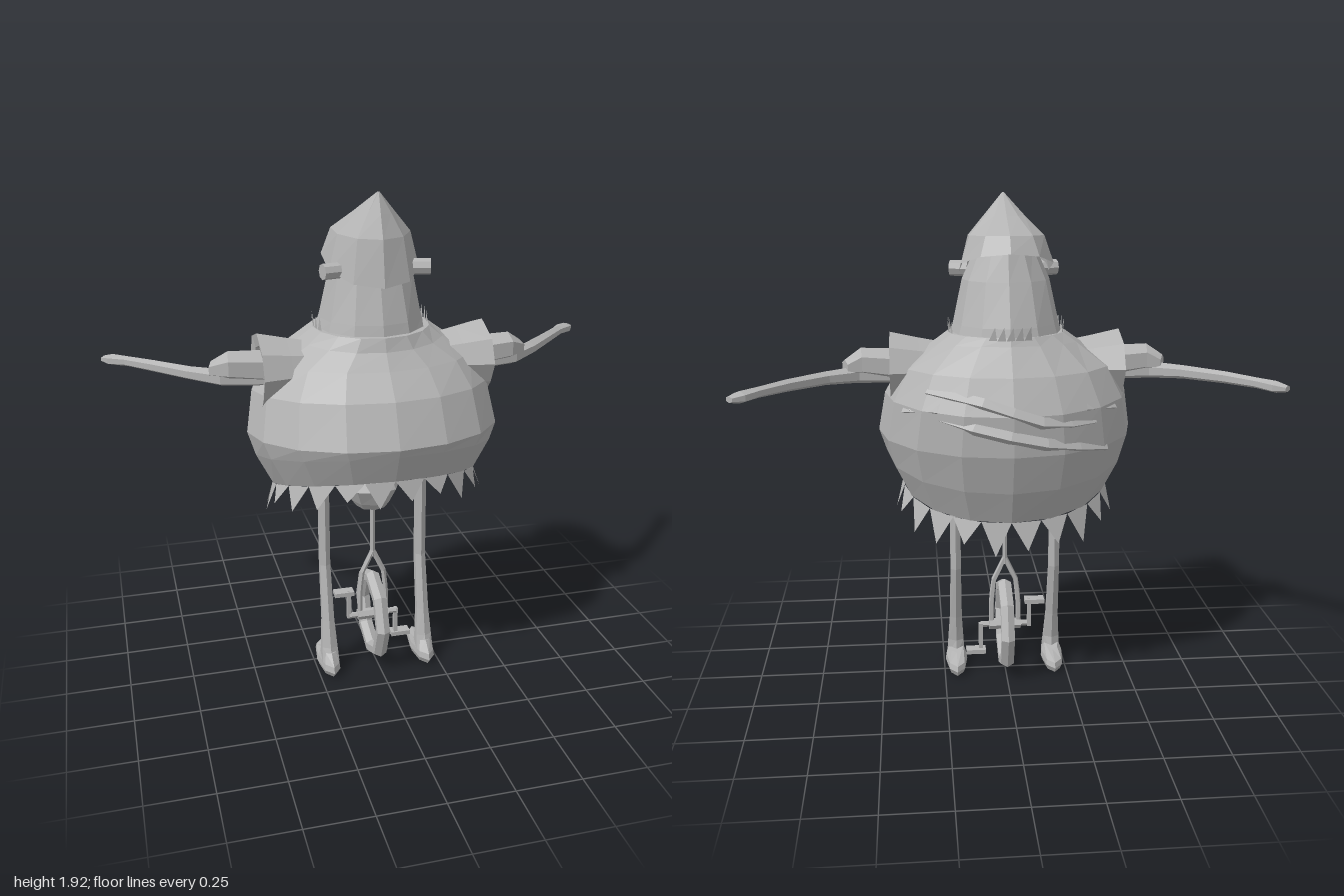
import * as THREE from 'three';

const V = (x, y, z) => new THREE.Vector3(x, y, z);

// Joins rings of points into a faceted surface, optionally closing the ends
function skin(rings, capStart = true, capEnd = true) {
  const out = [];
  const tri = (...p) => p.forEach((v) => out.push(v.x, v.y, v.z));
  const n = rings[0].length;
  for (let i = 0; i < rings.length - 1; i++) {
    for (let j = 0; j < n; j++) {
      const k = (j + 1) % n, a = rings[i], b = rings[i + 1];
      tri(a[j], a[k], b[k]);
      tri(a[j], b[k], b[j]);
    }
  }
  const cap = (ring, flip) => {
    const c = V(0, 0, 0);
    ring.forEach((p) => c.addScaledVector(p, 1 / n));
    ring.forEach((p, j) => {
      const q = ring[(j + 1) % n];
      flip ? tri(c, q, p) : tri(c, p, q);
    });
  };
  if (capStart) cap(rings[0], true);
  if (capEnd) cap(rings[rings.length - 1], false);
  const g = new THREE.BufferGeometry();
  g.setAttribute('position', new THREE.Float32BufferAttribute(out, 3));
  g.computeVertexNormals();
  return g;
}

// Point at angle t on a tilted oval: [y front, y back, half width, z front, z back]
function oval([yf, yb, a, zf, zb], t, x = 0) {
  const s = (Math.cos(t) + 1) / 2;
  return V(x + a * Math.sin(t), yb + (yf - yb) * s, zb + (zf - zb) * s);
}

function loft(sections, n, x = 0, capStart = true, capEnd = true) {
  return skin(sections.map((s) =>
    Array.from({ length: n }, (_, j) => oval(s, (j / n) * Math.PI * 2, x))), capStart, capEnd);
}

// Limb along the horizontal plane: [x, y, z, half height, half width, heading]
function limb(sections, n) {
  return skin(sections.map(([x, y, z, h, w, a]) =>
    Array.from({ length: n }, (_, j) => {
      const t = (j / n) * Math.PI * 2, d = w * Math.sin(t);
      return V(x - d * Math.sin(a), y + h * Math.cos(t), z - d * Math.cos(a));
    }).reverse()));
}

// Mirrors a geometry across x and restores its winding
function mirror(geo) {
  const g = geo.index ? geo.toNonIndexed() : geo.clone();
  const p = g.attributes.position;
  for (let i = 0; i < p.count; i += 3) {
    const [a, b, c] = [0, 1, 2].map((k) => V(-p.getX(i + k), p.getY(i + k), p.getZ(i + k)));
    [a, c, b].forEach((v, k) => p.setXYZ(i + k, v.x, v.y, v.z));
  }
  g.computeVertexNormals();
  return g;
}

// Loose triangles from a flat list of points
function triangles(points) {
  const g = new THREE.BufferGeometry().setFromPoints(points);
  g.computeVertexNormals();
  return g;
}

export function createModel() {
  const root = new THREE.Group();
  const grey = new THREE.MeshStandardMaterial({ color: 0xb4b4b4 });
  grey.name = 'grey';
  grey.flatShading = true;
  grey.side = THREE.DoubleSide;
  const add = (name, geo, parent = root) => {
    const m = new THREE.Mesh(geo, grey);
    m.name = name;
    parent.add(m);
    return m;
  };
  const pair = (name, geo, parent = root) => {
    add('left' + name, geo, parent);
    add('right' + name, mirror(geo), parent);
  };

  // Round robe with a slanted hem
  const rim = [0.92, 0.74, 0.4, 0.34, -0.29];
  add('robe', loft([
    rim,
    [1.03, 0.87, 0.462, 0.385, -0.345],
    [1.06, 1.02, 0.49, 0.397, -0.39],
    [1.22, 1.17, 0.462, 0.33, -0.395],
    [1.31, 1.3, 0.4, 0.25, -0.335],
    [1.37, 1.4, 0.28, 0.205, -0.26],
    [1.42, 1.43, 0.225, 0.19, -0.245],
  ], 16));

  // Ragged hem
  const hem = [], N = 22;
  const low = [0.84, 0.63, 0.43, 0.355, -0.315];
  for (let i = 0; i < N; i++) {
    const t = (k) => ((i + k) / N) * Math.PI * 2;
    const tip = oval(low, t(0.5));
    tip.y += 0.02 * Math.sin(i * 2.3);
    hem.push(oval(rim, t(0)), tip, oval(rim, t(1)));
  }
  add('raggedHem', triangles(hem));

  // Drapery folds across the back
  const fold = (name, pts, r) => add(name, new THREE.TubeGeometry(
    new THREE.CatmullRomCurve3(pts.map((p) => V(...p))), 6, r, 4));
  fold('lowerFold', [[0.36, 1.17, -0.22], [0.12, 1.12, -0.375], [-0.14, 1.06, -0.37], [-0.35, 1.02, -0.25]], 0.025);
  fold('upperFold', [[0.3, 1.24, -0.25], [0.1, 1.21, -0.36], [-0.12, 1.14, -0.375], [-0.3, 1.13, -0.28]], 0.025);
  pair('BackFold', skin([
    [V(0.3, 1.36, -0.08), V(0.2, 1.37, -0.18), V(0.25, 1.28, -0.12)],
    [V(0.4, 1.16, -0.22), V(0.27, 1.18, -0.33), V(0.3, 1.12, -0.22)],
  ]));

  // Head, hood and side studs
  add('head', loft([
    [1.38, 1.4, 0.22, 0.18, -0.25],
    [1.46, 1.46, 0.2, 0.165, -0.235],
    [1.62, 1.62, 0.165, 0.12, -0.175],
    [1.74, 1.74, 0.11, 0.1, -0.13],
  ], 12));
  add('hood', loft([
    [1.6, 1.73, 0.18, 0.183, -0.255],
    [1.77, 1.79, 0.145, 0.155, -0.21],
    [1.855, 1.85, 0.075, 0.122, -0.07],
    [1.93, 1.93, 0.004, 0.092, 0.086],
  ], 10, 0, false, true));
  pair('Stud', new THREE.CylinderGeometry(0.03, 0.03, 0.07, 8)
    .rotateZ(Math.PI / 2).rotateY(-0.25).translate(0.17, 1.65, 0.065));

  // Tufts poking up around the neck
  const collar = [1.42, 1.42, 0.218, 0.18, -0.25], tufts = [];
  const tuftTop = [1.48, 1.47, 0.222, 0.185, -0.255];
  for (const mid of [Math.PI / 2, Math.PI, Math.PI * 1.5]) {
    for (let i = -2; i <= 2; i++) {
      const t = mid + i * 0.15;
      tufts.push(oval(collar, t - 0.07), oval(collar, t + 0.07), oval(tuftTop, t + 0.04));
    }
  }
  add('neckTufts', triangles(tufts));

  // Open sleeves: the same outline shrunk towards the body
  const cuff = [[0, 1.42], [0.12, 1.37], [0.16, 1.28], [0.12, 1.2], [0, 1.07], [-0.12, 1.2], [-0.17, 1.29], [-0.12, 1.38]];
  const sleeveRing = (x, k) => cuff.map(([z, y]) => V(x, 1.27 + (y - 1.27) * k, z * k));
  pair('Sleeve', skin([
    sleeveRing(0.22, 0.7), sleeveRing(0.33, 0.84), sleeveRing(0.44, 1),
    sleeveRing(0.432, 0.68), sleeveRing(0.38, 0.6),
  ], false, true));

  // Arms swept backwards, with a shoulder bulge
  pair('Shoulder', limb([
    [0.38, 1.29, 0, 0.065, 0.075, 0],
    [0.55, 1.305, 0.0, 0.055, 0.06, 0.1],
    [0.61, 1.29, -0.025, 0.03, 0.035, 0.4],
  ], 6));
  pair('Arm', limb([
    [0.4, 1.255, 0.01, 0.035, 0.05, 0],
    [0.57, 1.258, -0.01, 0.032, 0.042, 0.4],
    [0.68, 1.262, -0.085, 0.026, 0.03, 0.7],
    [0.81, 1.264, -0.21, 0.023, 0.024, 0.8],
    [0.9, 1.262, -0.305, 0.02, 0.022, 0.85],
    [0.955, 1.258, -0.36, 0.022, 0.034, 0.85],
    [0.988, 1.256, -0.388, 0.012, 0.018, 0.85],
  ], 6));

  // Legs and feet
  pair('Leg', loft([
    [0.05, 0.05, 0.04, 0.13, 0.03],
    [0.11, 0.11, 0.036, 0.105, 0.04],
    [0.22, 0.22, 0.028, 0.08, 0.025],
    [0.45, 0.45, 0.024, 0.035, -0.02],
    [0.79, 0.79, 0.024, 0.03, -0.02],
  ], 6, 0.2));
  pair('Foot', loft([
    [0.005, 0.005, 0.036, 0.15, -0.07],
    [0.03, 0.03, 0.045, 0.172, -0.09],
    [0.055, 0.05, 0.042, 0.165, -0.08],
    [0.095, 0.07, 0.03, 0.12, 0.01],
  ], 8, 0.2));

  // Unicycle: wheel, axle, fork, cranks, pedals and saddle
  const cycle = new THREE.Group();
  cycle.name = 'unicycle';
  root.add(cycle);
  add('wheel', new THREE.TorusGeometry(0.162, 0.03, 6, 8)
    .rotateY(Math.PI / 2).translate(0, 0.2, 0.01), cycle);
  add('axle', new THREE.CylinderGeometry(0.012, 0.012, 0.2, 6).rotateZ(Math.PI / 2).translate(0, 0.195, 0.01), cycle);
  add('hub', new THREE.CylinderGeometry(0.022, 0.022, 0.13, 6).rotateZ(Math.PI / 2).translate(0, 0.195, 0.01), cycle);
  add('seatPost', new THREE.CylinderGeometry(0.01, 0.01, 0.24, 6).translate(0, 0.58, 0.01), cycle);
  const forkPath = new THREE.CurvePath();
  const forkPts = [V(0, 0.485, 0.01), V(0.045, 0.39, 0.01), V(0.055, 0.3, 0.01), V(0.055, 0.185, 0.01)];
  forkPts.slice(1).forEach((p, i) => forkPath.add(new THREE.LineCurve3(forkPts[i], p)));
  pair('Fork', new THREE.TubeGeometry(forkPath, 6, 0.011, 5), cycle);
  for (const [side, s] of [['left', 1], ['right', -1]]) {
    const end = s > 0 ? 0.085 : 0.3;
    add(side + 'Crank', new THREE.BoxGeometry(0.016, 0.125, 0.02).translate(s * 0.1, (end + 0.195) / 2, 0.005), cycle);
    add(side + 'Pedal', new THREE.BoxGeometry(0.08, 0.018, 0.045).translate(s * 0.12, end, 0), cycle);
  }
  add('saddle', loft([
    [0.68, 0.68, 0.06, 0.05, -0.07],
    [0.71, 0.7, 0.08, 0.075, -0.1],
    [0.775, 0.76, 0.11, 0.11, -0.11],
    [0.81, 0.8, 0.09, 0.09, -0.09],
  ], 8), cycle);

  return root;
}
